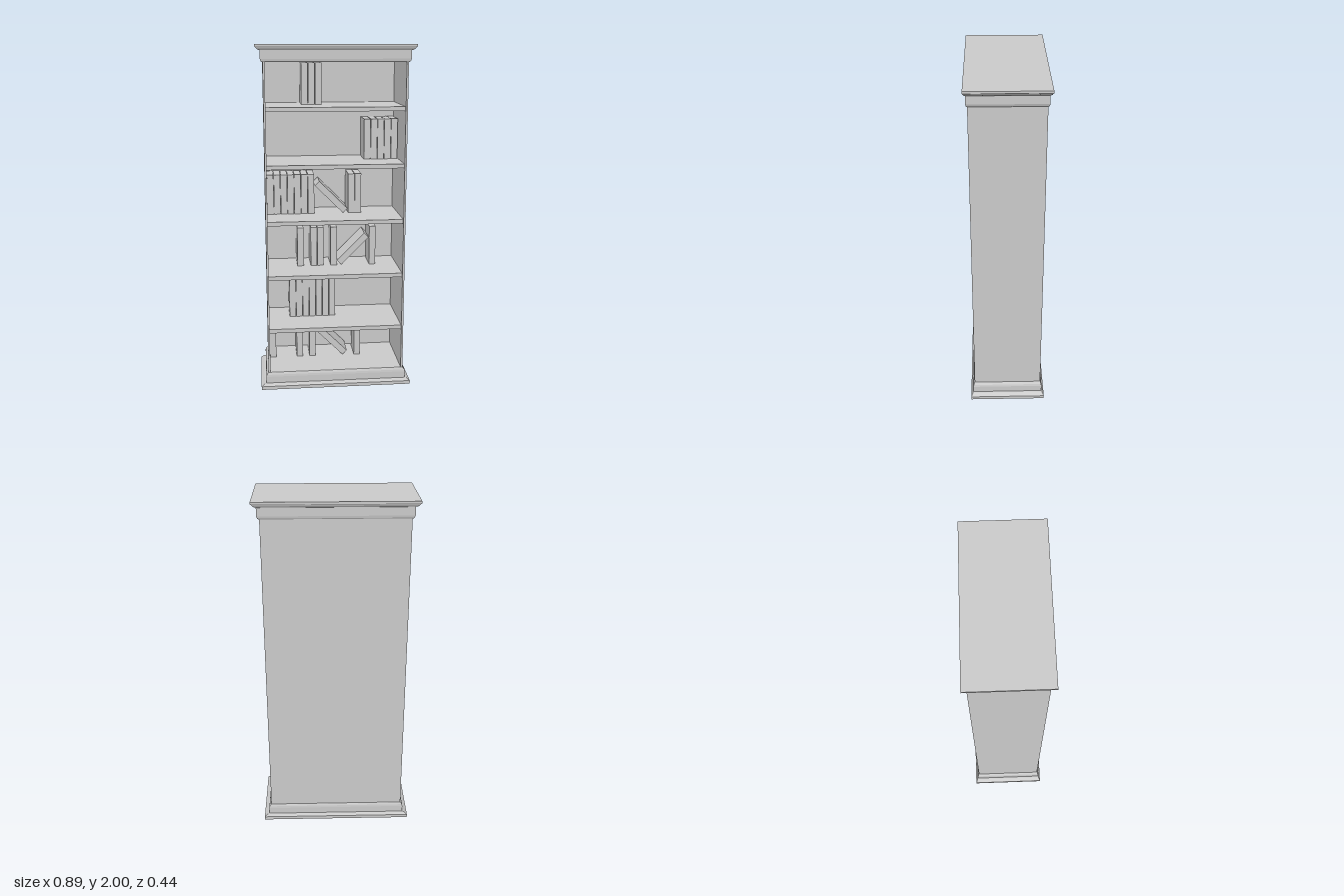
import * as THREE from 'three';

const material = new THREE.MeshStandardMaterial({ color: 0xcccccc, flatShading: true });

export function createModel() {
  const model = new THREE.Group();

  function add(name, geometry, parent = model) {
    const mesh = new THREE.Mesh(geometry, material);
    mesh.name = name;
    parent.add(mesh);
    return mesh;
  }

  function box(name, w, h, d, x, y, z, parent) {
    const mesh = add(name, new THREE.BoxGeometry(w, h, d), parent);
    mesh.position.set(x, y, z);
    return mesh;
  }

  // Rectangular moulding: a four-sided lathe of [half depth, height] points, twice as wide as deep
  function moulding(name, profile) {
    const points = profile.map(([r, y]) => new THREE.Vector2(r * Math.SQRT2, y));
    const geometry = new THREE.LatheGeometry(points, 4, Math.PI / 4).scale(2, 1, 1).toNonIndexed();
    geometry.computeVertexNormals();
    return add(name, geometry);
  }

  moulding('plinth', [
    [0, 0], [0.2225, 0], [0.2225, 0.02], [0.219, 0.024], [0.213, 0.034], [0.208, 0.036],
    [0.208, 0.075], [0.2065, 0.087], [0.203, 0.097], [0.2, 0.1], [0, 0.1],
  ]);
  moulding('cornice', [
    [0, 1.905], [0.203, 1.905], [0.206, 1.91], [0.208, 1.922], [0.208, 1.968],
    [0.212, 1.97], [0.217, 1.977], [0.22, 1.985], [0.2225, 1.988], [0.2225, 2], [0, 2],
  ]);

  // Carcass
  for (const side of [-1, 1]) {
    box(side > 0 ? 'leftSide' : 'rightSide', 0.011, 1.805, 0.4, side * 0.3965, 1.0025, 0);
  }
  box('backPanel', 0.782, 1.805, 0.006, 0, 1.0025, -0.197);

  // Shelves, evenly spaced above the plinth
  const shelfTop = (i) => (i === 0 ? 0.1 : 0.363 + (i - 1) * 0.324);
  for (let i = 1; i <= 5; i++) {
    box('shelf', 0.782, 0.024, 0.379, 0, shelfTop(i) - 0.012, -0.0045);
  }

  // Books, bottom row first: left edges of upright books, and the tilted one as [x, angle]
  const run = (start, count) => Array.from({ length: count }, (_, i) => start + i * 0.0403);
  const rows = [
    { upright: [-0.389, -0.223, -0.144, 0.134], leaning: [-0.008, Math.PI / 4] },
    { upright: run(-0.264, 7) },
    { upright: [-0.213, -0.132, -0.092, -0.011, 0.224], leaning: [0.124, -Math.PI / 4] },
    { upright: [...run(-0.389, 7), 0.094, 0.134], leaning: [-0.008, Math.PI / 4] },
    { upright: run(0.187, 5) },
    { upright: run(-0.182, 3) },
  ];
  const thickness = 0.038, height = 0.237, depth = 0.157, bookZ = -0.1;
  rows.forEach(({ upright, leaning }, i) => {
    const row = new THREE.Group();
    row.name = 'bookRow';
    model.add(row);
    for (const x of upright) {
      box('book', thickness, height, depth, x + thickness / 2, shelfTop(i) + height / 2, bookZ, row);
    }
    if (leaning) {
      const y = shelfTop(i) + (thickness + height) / 2 * Math.SQRT1_2 + 0.001;
      box('leaningBook', thickness, height, depth, leaning[0], y, bookZ, row).rotation.z = leaning[1];
    }
  });

  return model;
}
